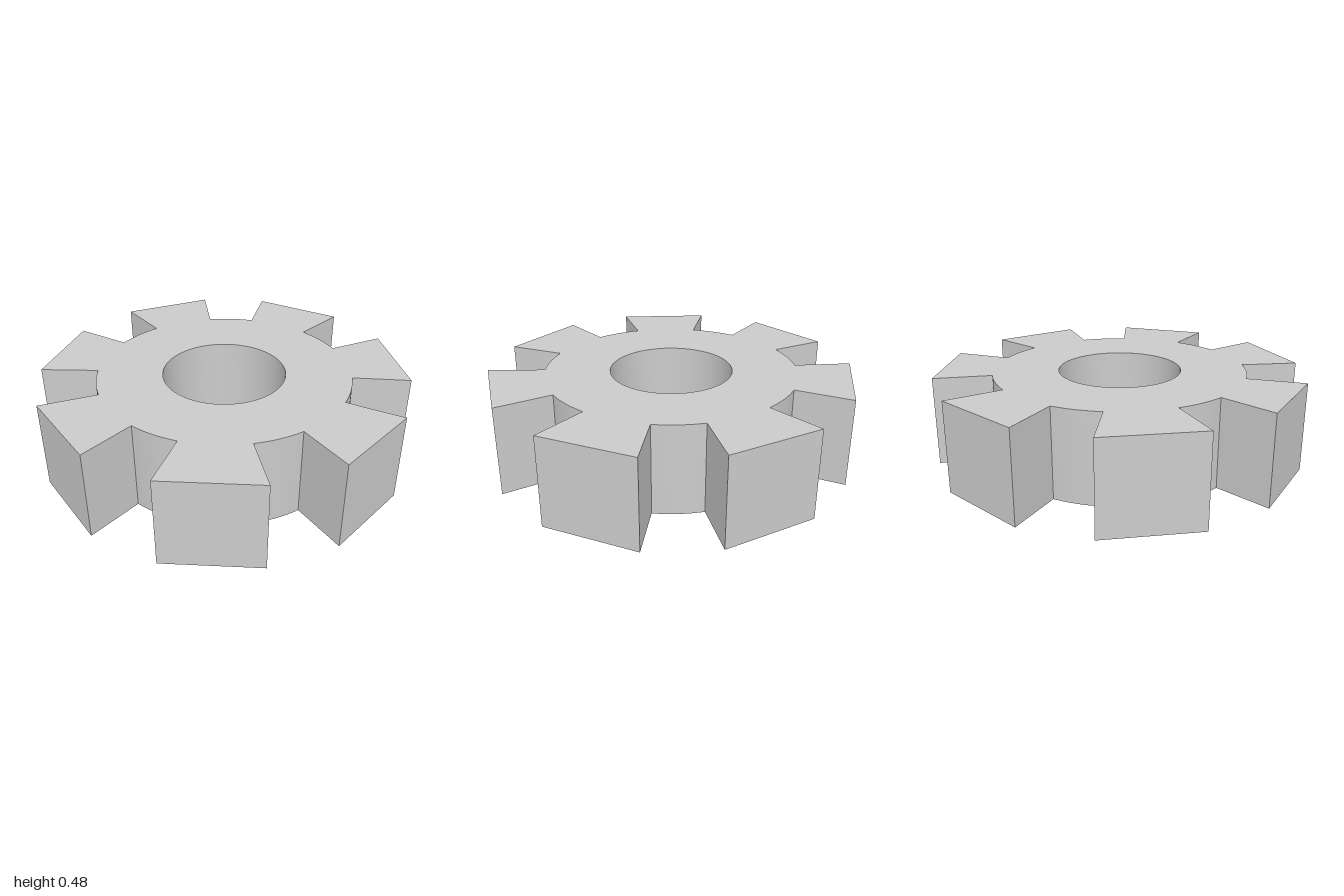
import * as THREE from 'three';
import { toCreasedNormals } from 'three/addons/utils/BufferGeometryUtils.js';

const TEETH = 7;
const HEIGHT = 0.483;
const HUB_RADIUS = 0.688;
const BORE_RADIUS = 0.333;
const TIP_DISTANCE = 0.967; // centre to the flat tooth tip
const TIP_HALF_WIDTH = 0.255;
const ROOT_HALF_ANGLE = 0.259; // half the angle a tooth covers on the hub

export function createModel() {
  const group = new THREE.Group();
  const step = (Math.PI * 2) / TEETH;

  // Outline: flared flat-tipped teeth joined by arcs of the hub
  const outline = new THREE.Shape();
  for (let i = 0; i < TEETH; i++) {
    const a = Math.PI + i * step;
    const c = Math.cos(a), s = Math.sin(a);
    const tip = (w) => [TIP_DISTANCE * c - w * s, TIP_DISTANCE * s + w * c];
    if (i === 0) outline.moveTo(...tip(-TIP_HALF_WIDTH));
    else outline.lineTo(...tip(-TIP_HALF_WIDTH));
    outline.lineTo(...tip(TIP_HALF_WIDTH));
    outline.absarc(0, 0, HUB_RADIUS, a + ROOT_HALF_ANGLE, a + step - ROOT_HALF_ANGLE, false);
  }
  outline.closePath();

  // Round central bore
  const bore = new THREE.Path();
  bore.absarc(0, 0, BORE_RADIUS, 0, Math.PI * 2, true);
  outline.holes.push(bore);

  // Extrude upwards, smooth on the arcs and sharp at the corners
  const extruded = new THREE.ExtrudeGeometry(outline, {
    depth: HEIGHT, bevelEnabled: false, curveSegments: 32,
  });
  extruded.rotateX(-Math.PI / 2);
  const gear = new THREE.Mesh(
    toCreasedNormals(extruded, Math.PI / 7),
    new THREE.MeshStandardMaterial({ color: 0xcccccc }),
  );
  gear.name = 'gearWheel';
  gear.position.x = -0.01;
  group.add(gear);
  return group;
}
